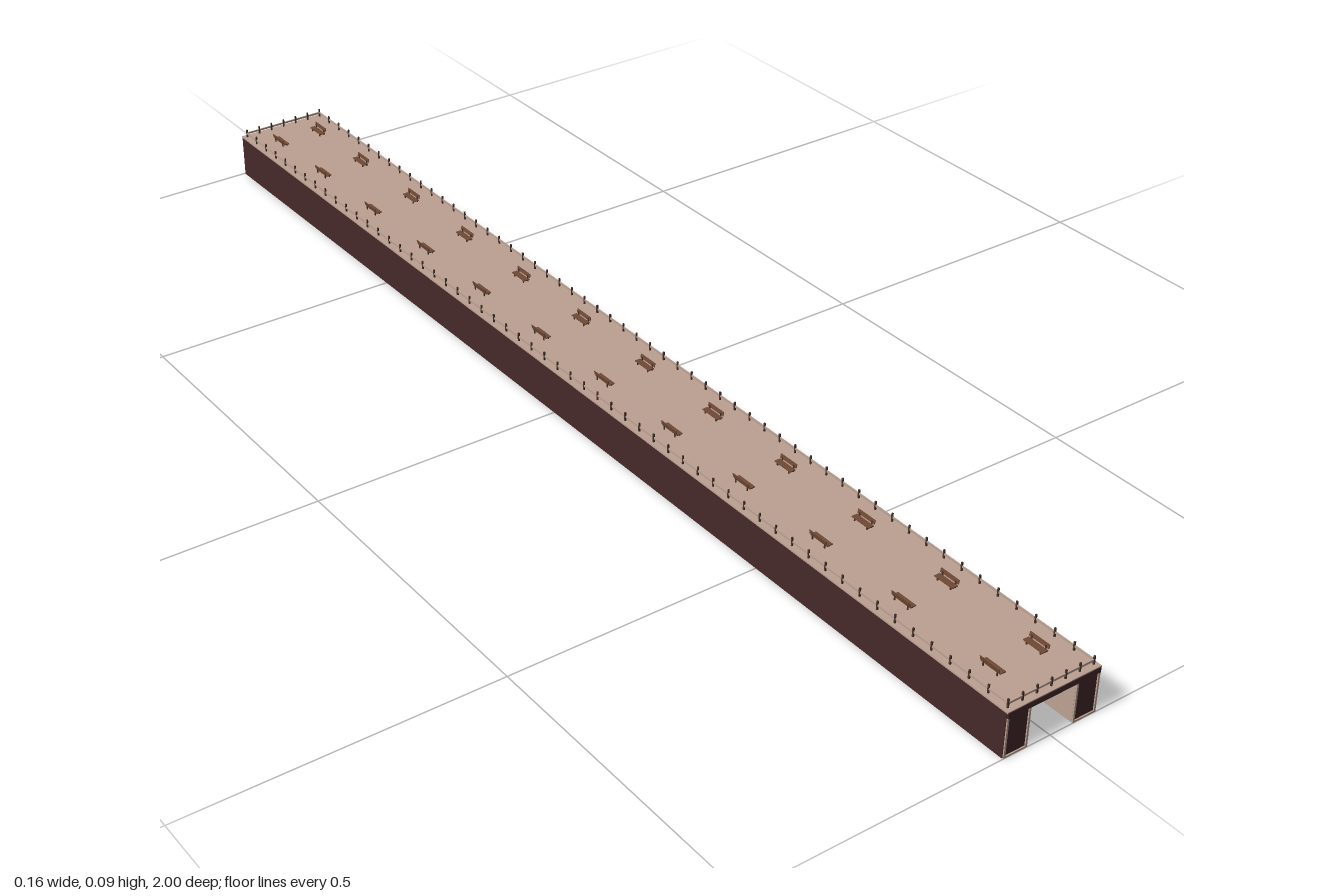
import * as THREE from 'three';

const mat = (name, color) => {
  const m = new THREE.MeshStandardMaterial({ color, side: THREE.DoubleSide });
  m.name = name;
  return m;
};

export function createModel() {
  const planking = mat('pale planking', 0xbca193);
  const maroon = mat('dark maroon timber', 0x462a2b);
  const brown = mat('bench brown', 0x704a35);
  const postBrown = mat('dark post brown', 0x4a362c);

  const model = new THREE.Group();
  model.name = 'pier';

  const group = (name, parent = model) => {
    const g = new THREE.Group();
    g.name = name;
    parent.add(g);
    return g;
  };
  // Box given by its lower and upper limits on each axis
  const box = (parent, name, material, [x0, x1], [y0, y1], [z0, z1]) => {
    const mesh = new THREE.Mesh(new THREE.BoxGeometry(x1 - x0, y1 - y0, z1 - z0), material);
    mesh.position.set((x0 + x1) / 2, (y0 + y1) / 2, (z0 + z1) / 2);
    mesh.name = name;
    parent.add(mesh);
    return mesh;
  };
  const span = (a, b) => [Math.min(a, b), Math.max(a, b)];

  // Deck: one pale slab, with a maroon beam across the front end
  const deck = group('deck');
  box(deck, 'deckSlab', planking, [-0.081, 0.081], [0.0645, 0.0725], [-1, 0.998]);
  box(deck, 'deckBoards', planking, [-0.082, 0.082], [0.0725, 0.075], [-1, 1]);
  box(deck, 'frontBeam', maroon, [-0.081, 0.081], [0.0645, 0.0735], [0.998, 1.0005]);

  // Two hollow side skirts, open at the bottom
  for (const s of [1, -1]) {
    const skirt = group(s > 0 ? 'leftSkirt' : 'rightSkirt');
    box(skirt, 'outerWall', maroon, span(s * 0.081, s * 0.082), [0, 0.0725], [-0.998, 0.998]);
    box(skirt, 'innerWall', planking, span(s * 0.04, s * 0.0415), [0, 0.0645], [-0.998, 0.998]);
    for (const e of [1, -1])
      box(skirt, 'endPanel', maroon, span(s * 0.0415, s * 0.081), [0, 0.0645], span(e * 0.996, e * 0.998));
    // Pale frame around the front end panel
    for (const x of [0.0402, 0.078])
      box(skirt, 'endTrim', planking, span(s * x, s * (x + 0.003)), [0, 0.0645], [0.998, 1]);
    box(skirt, 'endSill', planking, span(s * 0.0432, s * 0.078), [0, 0.0025], [0.998, 1]);
  }

  // Railings: dark posts and a pale rail along all four edges
  const railing = group('railing');
  const post = (x, z) =>
    box(railing, 'railPost', postBrown, [x - 0.0012, x + 0.0012], [0.075, 0.089], [z - 0.0012, z + 0.0012]);
  const railX = 0.075, railZ = 0.992, sidePosts = 56, endPosts = 6;
  for (const s of [1, -1]) {
    for (let i = 0; i <= sidePosts; i++) post(s * railX, -railZ + (2 * railZ * i) / sidePosts);
    for (let i = 1; i < endPosts; i++) post(-railX + (2 * railX * i) / endPosts, s * railZ);
    box(railing, 'sideRail', planking, [s * railX - 0.0008, s * railX + 0.0008], [0.0805, 0.0838], [-railZ, railZ]);
    box(railing, 'endRail', planking, [-railX, railX], [0.0805, 0.0838], [s * railZ - 0.0008, s * railZ + 0.0008]);
  }

  // Benches in two rows, facing the middle of the deck
  for (const s of [1, -1]) {
    for (let i = 0; i < 12; i++) {
      const bench = group('bench');
      bench.position.set(s * 0.038, 0.075, i < 11 ? 0.925 - i * 0.1705 : -0.932);
      box(bench, 'seat', brown, span(s * -0.006, s * 0.004), [0.0045, 0.006], [-0.018, 0.018]);
      const back = box(bench, 'backrest', brown, [-0.0006, 0.0006], [0.0075, 0.014], [-0.018, 0.018]);
      back.position.x = s * 0.0055;
      back.rotation.z = -s * 0.2;
      for (const z of [-0.013, 0.013]) {
        box(bench, 'frontLeg', postBrown, span(s * -0.005, s * -0.0035), [0, 0.0045], [z - 0.001, z + 0.001]);
        box(bench, 'backLeg', postBrown, span(s * 0.0035, s * 0.005), [0, 0.011], [z - 0.001, z + 0.001]);
      }
    }
  }
  return model;
}
